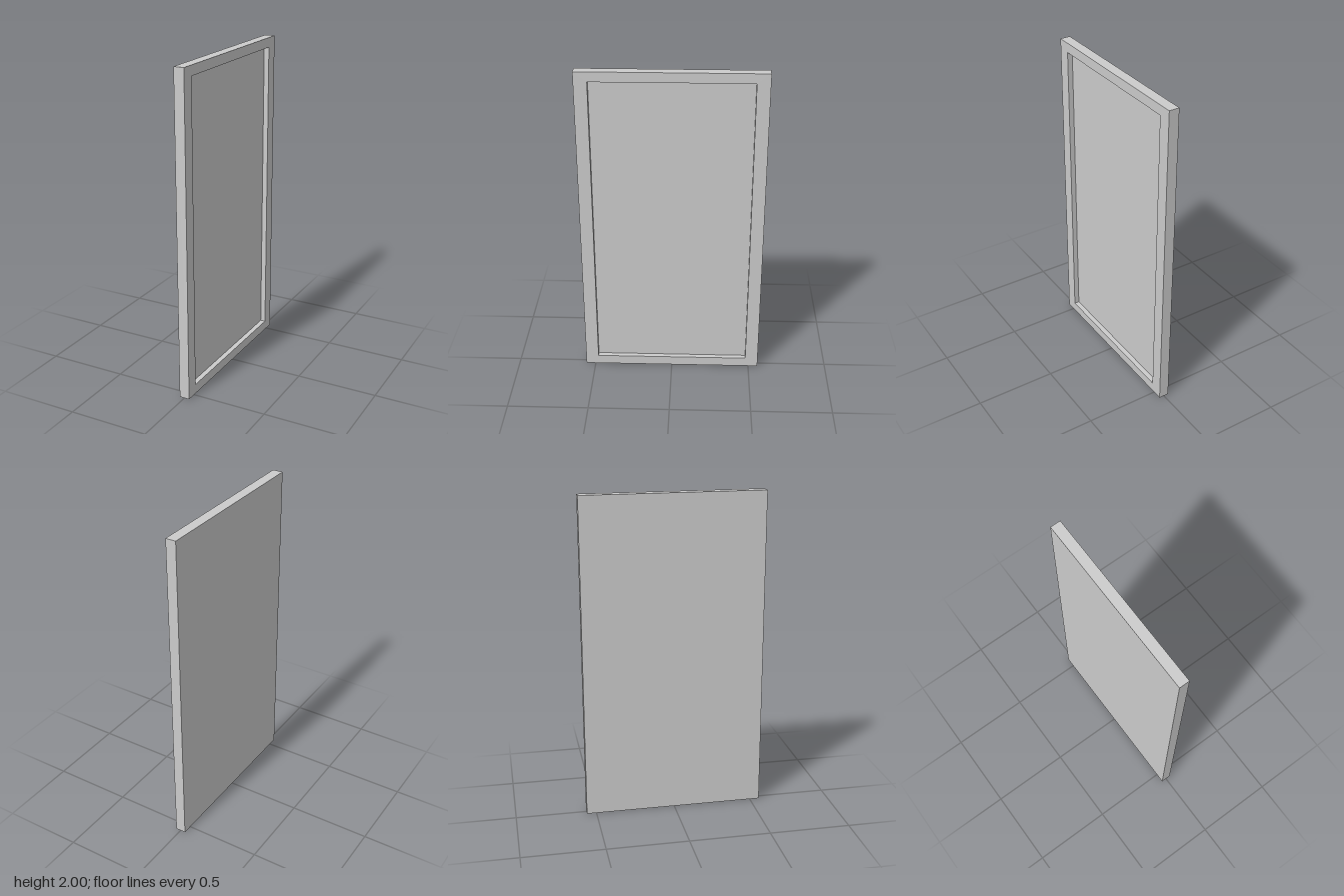
import * as THREE from 'three';

const HALF_THICK = 0.032;

// Rectangle of four corners at depth x, counter-clockwise seen from +x
const ring = (x, halfZ, y0, y1) => [[x, y0, halfZ], [x, y0, -halfZ], [x, y1, -halfZ], [x, y1, halfZ]];

// Flat-shaded mesh from four-cornered faces
function quadMesh(name, quads, material) {
  const positions = quads.flatMap(([a, b, c, d]) => [a, b, c, a, c, d].flat());
  const geometry = new THREE.BufferGeometry();
  geometry.setAttribute('position', new THREE.Float32BufferAttribute(positions, 3));
  geometry.computeVertexNormals();
  const mesh = new THREE.Mesh(geometry, material);
  mesh.name = name;
  return mesh;
}

export function createModel() {
  const group = new THREE.Group();
  group.name = 'framedPanel';
  const material = new THREE.MeshStandardMaterial({ color: 0xcccccc, flatShading: true });

  // Outer edge, front rim and recess wall
  const rings = [
    ring(-HALF_THICK, 0.56, 0, 2),
    ring(HALF_THICK, 0.56, 0, 2),
    ring(HALF_THICK, 0.48, 0.06, 1.94),
    ring(0, 0.48, 0.06, 1.94),
  ];
  const sides = [];
  for (let r = 0; r < rings.length - 1; r++) {
    for (let i = 0; i < 4; i++) {
      const j = (i + 1) % 4;
      sides.push([rings[r][i], rings[r][j], rings[r + 1][j], rings[r + 1][i]]);
    }
  }
  group.add(quadMesh('frame', sides, material));

  // Recessed face on +x and plain back on -x
  group.add(quadMesh('recessedPanel', [rings[3]], material));
  group.add(quadMesh('backPanel', [[...rings[0]].reverse()], material));

  return group;
}
